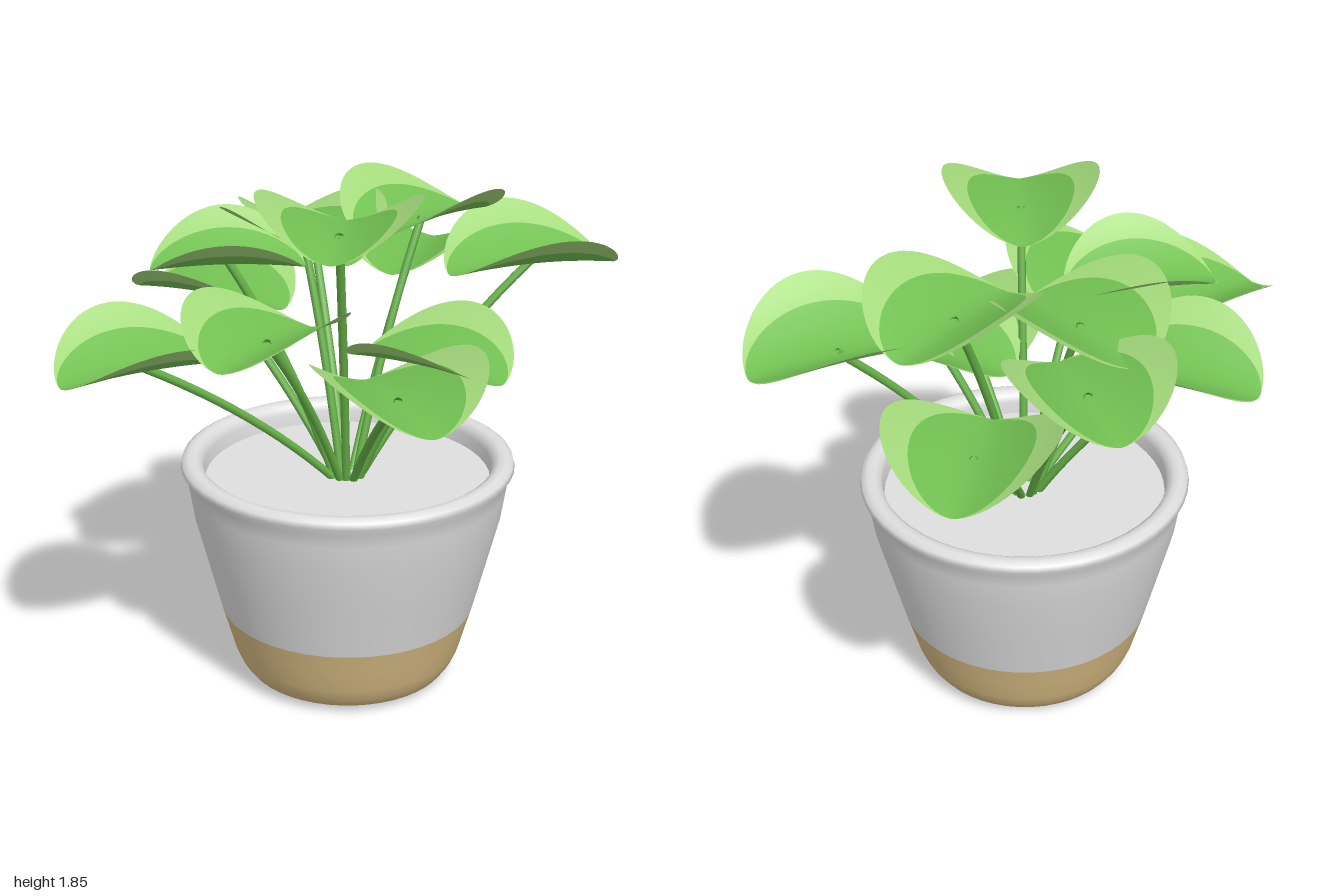
import * as THREE from 'three';

const mat = (name, color, side = THREE.FrontSide) => {
  const m = new THREE.MeshStandardMaterial({ color, side });
  m.name = name;
  return m;
};

const POT_Z = 0.065;   // the pot sits slightly forward of the foliage centre

// Each leaf: x, z of its centre, height of its fold line, radius
const LEAVES = [
  [-0.71, -0.205, 1.28, 0.285],
  [-0.50, 0.15, 1.39, 0.27],
  [-0.257, 0.246, 1.71, 0.27],
  [-0.21, 0.46, 1.185, 0.29],
  [0.04, 0.39, 1.235, 0.28],
  [0.57, 0.415, 1.475, 0.302],
  [0.384, 0.075, 1.61, 0.288],
  [0.715, -0.225, 1.365, 0.28],
  [0.358, -0.417, 1.475, 0.272],
  [-0.107, -0.47, 1.345, 0.29],
  [-0.289, -0.22, 1.54, 0.262],
  [0.086, -0.215, 1.54, 0.293],
];

// Round leaf folded upward into a trough along local x, drooping slightly at
// both ends; group 0 is the middle, group 1 the two pale outer crescents
function leafGeometry(r) {
  const N = 28;
  const cols = [-1, -0.9, -0.8, -0.68, -0.45, -0.22, 0, 0.22, 0.45, 0.68, 0.8, 0.9, 1];
  const pos = [], index = [];
  const geo = new THREE.BufferGeometry();
  for (const s of cols) {
    for (let i = 0; i <= N; i++) {
      const a = 0.07 + (Math.PI - 0.14) * (i / N);
      const u = -r * Math.cos(a), v = s * r * Math.sin(a);
      const lift = 0.145 * (r / 0.28) * Math.pow(Math.abs(v) / r, 1.5);
      pos.push(u, lift - 0.22 * u * u, v);
    }
  }
  for (let c = 0; c < cols.length - 1; c++) {
    const start = index.length;
    for (let i = 0; i < N; i++) {
      const a = c * (N + 1) + i, b = a + N + 1;
      index.push(a, b, a + 1, b, b + 1, a + 1);
    }
    const pale = Math.abs(cols[c] + cols[c + 1]) / 2 > 0.68;
    geo.addGroup(start, index.length - start, pale ? 1 : 0);
  }
  geo.setAttribute('position', new THREE.Float32BufferAttribute(pos, 3));
  geo.setIndex(index);
  geo.computeVertexNormals();
  return geo;
}

export function createModel() {
  const root = new THREE.Group();
  root.name = 'pottedPlant';

  const glaze = mat('pale grey glaze', 0xdedede);
  const clay = mat('tan clay', 0xd8bc84);
  const green = mat('leaf green', 0x72c052, THREE.DoubleSide);
  const pale = mat('pale leaf green', 0xa4da7c, THREE.DoubleSide);
  const stemMat = mat('stem green', 0x66b047, THREE.DoubleSide);

  const lathe = (name, profile, material) => {
    const pts = profile.map(([x, y]) => new THREE.Vector2(x, y));
    const mesh = new THREE.Mesh(new THREE.LatheGeometry(pts, 48), material);
    mesh.name = name;
    mesh.position.z = POT_Z;
    root.add(mesh);
  };

  // Pot: clay foot, glazed wall with rounded lip, and shallow inner floor
  lathe('potFoot', [[0, 0], [0.28, 0], [0.33, 0.012], [0.365, 0.03], [0.39, 0.065],
    [0.41, 0.11], [0.435, 0.2], [0.455, 0.27]], clay);
  lathe('potWall', [[0.455, 0.27], [0.5, 0.45], [0.545, 0.63], [0.56, 0.73], [0.568, 0.78],
    [0.587, 0.808], [0.582, 0.828], [0.56, 0.84], [0.535, 0.838], [0.515, 0.825],
    [0.507, 0.8], [0.503, 0.755]], glaze);
  lathe('potFloor', [[0.505, 0.755], [0, 0.755]], glaze);

  // Stems fan out from the middle of the pot, each carrying one leaf
  LEAVES.forEach(([x, z, y, r]) => {
    const dx = x, dz = z - POT_Z;
    const len = Math.hypot(dx, dz);
    const base = new THREE.Vector3(0.045 * dx / len, 0.74, POT_Z + 0.045 * dz / len);
    const tip = new THREE.Vector3(x, y + 0.006, z);
    const bend = new THREE.Vector3(
      base.x + (x - base.x) * 0.42, base.y + (y - base.y) * 0.58, base.z + (z - base.z) * 0.42);
    const curve = new THREE.QuadraticBezierCurve3(base, bend, tip);
    const stem = new THREE.Mesh(new THREE.TubeGeometry(curve, 12, 0.0145, 8), stemMat);
    stem.name = 'stem';

    const leaf = new THREE.Mesh(leafGeometry(r), [green, pale]);
    leaf.name = 'leaf';
    leaf.position.set(x, y, z);
    leaf.rotation.y = -Math.atan2(dz, dx);   // fold points away from the pot centre
    root.add(stem, leaf);
  });

  return root;
}
